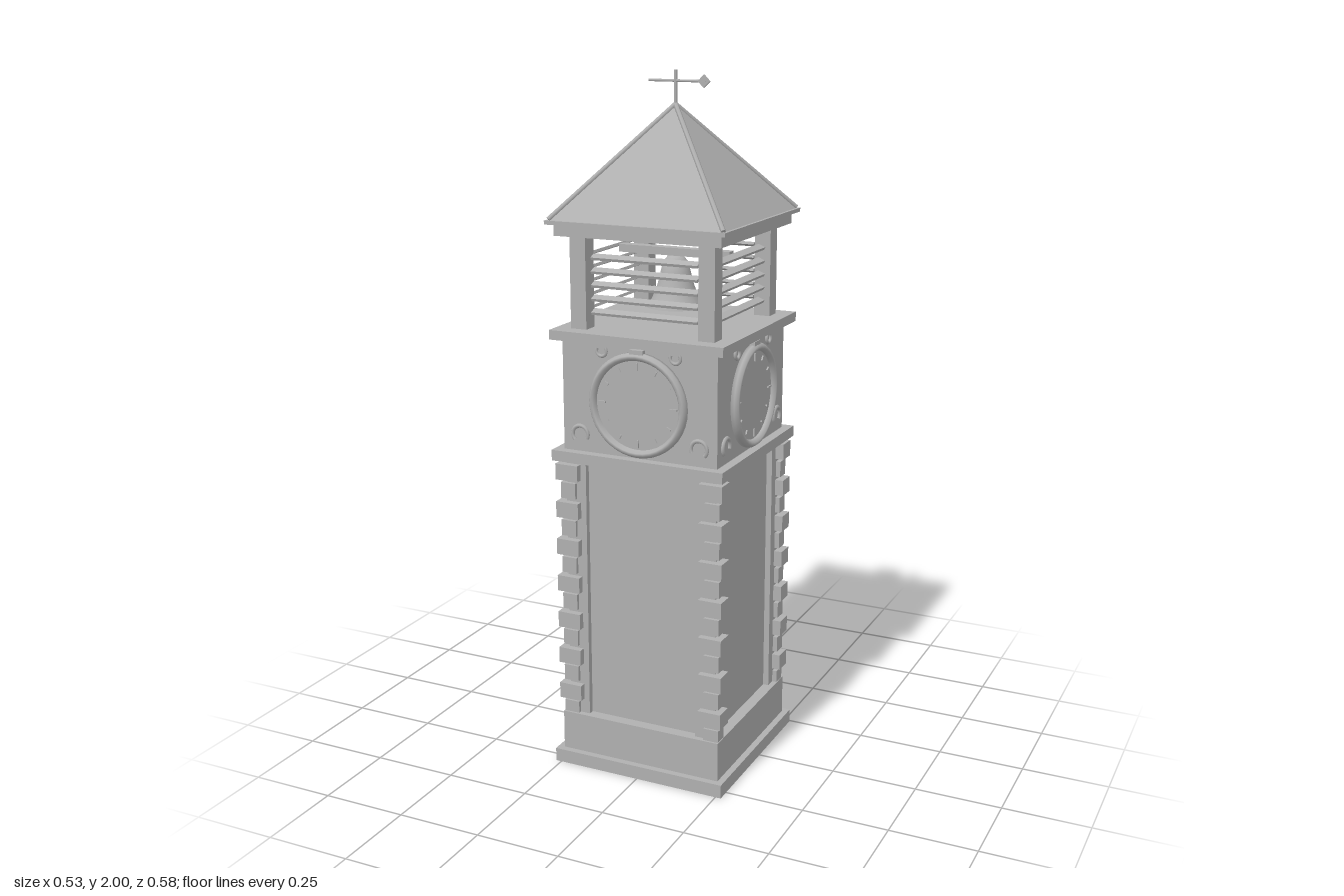
import * as THREE from 'three';

const stone = new THREE.MeshStandardMaterial({ color: 0xb0b0b0 });
stone.name = 'grey stone';

function add(parent, name, geometry, x = 0, y = 0, z = 0) {
  const mesh = new THREE.Mesh(geometry, stone);
  mesh.name = name;
  mesh.position.set(x, y, z);
  parent.add(mesh);
  return mesh;
}

// Box given by its bottom and top heights
function block(parent, name, w, y0, y1, d, x = 0, z = 0) {
  return add(parent, name, new THREE.BoxGeometry(w, y1 - y0, d), x, (y0 + y1) / 2, z);
}

// Thin rod between two points
function rod(parent, name, a, b, r, sides = 6) {
  const mesh = add(parent, name, new THREE.CylinderGeometry(r, r, a.distanceTo(b), sides));
  mesh.position.copy(a).add(b).multiplyScalar(0.5);
  mesh.quaternion.setFromUnitVectors(new THREE.Vector3(0, 1, 0), b.clone().sub(a).normalize());
  return mesh;
}

const V = (x, y, z) => new THREE.Vector3(x, y, z);
const corners = [[1, 1], [1, -1], [-1, -1], [-1, 1]];

// Clock with raised rim, ticks and corner scrolls, facing +z
function clockFace(parent) {
  const clock = new THREE.Group();
  clock.name = 'clock';
  clock.position.set(0, 1.116, 0.234);
  parent.add(clock);
  const rim = [[0.126, 0], [0.148, 0], [0.148, 0.012], [0.141, 0.022], [0.133, 0.022], [0.126, 0.012], [0.126, 0]];
  const ring = add(clock, 'clockRim', new THREE.LatheGeometry(rim.map(p => new THREE.Vector2(...p)), 40));
  ring.rotation.x = Math.PI / 2;
  ring.material = stone;
  add(clock, 'clockDial', new THREE.CylinderGeometry(0.128, 0.128, 0.008, 40), 0, 0, 0.004).rotation.x = Math.PI / 2;
  for (let i = 0; i < 12; i++) {
    const a = i * Math.PI / 6;
    const tick = add(clock, 'hourTick', new THREE.BoxGeometry(0.005, i % 3 ? 0.014 : 0.022, 0.005),
      Math.sin(a) * 0.109, Math.cos(a) * 0.109, 0.01);
    tick.rotation.z = -a;
  }
  for (const s of [-1, 1]) {
    const big = add(clock, 'lowerScroll', new THREE.TorusGeometry(0.024, 0.006, 6, 18, Math.PI * 1.4), s * 0.182, -0.103, 0.004);
    big.rotation.z = s > 0 ? -Math.PI * 0.25 : -Math.PI * 0.15;
    add(clock, 'upperScroll', new THREE.TorusGeometry(0.015, 0.005, 6, 14, Math.PI * 1.4), s * 0.112, 0.142, 0.004).rotation.z = Math.PI * 0.8;
  }
  add(clock, 'clockKeystone', new THREE.BoxGeometry(0.04, 0.012, 0.018), 0, 0.15, 0.008);
}

// Outline of an opening with an arched head
function archPath(path, w, h) {
  const rise = h - w * 0.4;
  path.moveTo(-w / 2, 0);
  path.lineTo(w / 2, 0);
  path.lineTo(w / 2, rise);
  path.absellipse(0, rise, w / 2, w * 0.4, 0, Math.PI, false);
  path.lineTo(-w / 2, 0);
  return path;
}

function archedWindow(parent, y) {
  const shape = archPath(new THREE.Shape(), 0.1, 0.165);
  const inner = archPath(new THREE.Path(), 0.076, 0.141).getPoints(10)
    .map(p => new THREE.Vector2(p.x, p.y + 0.012));
  shape.holes.push(new THREE.Path(inner));
  add(parent, 'windowFrame', new THREE.ExtrudeGeometry(shape, { depth: 0.012, bevelEnabled: false, curveSegments: 10 }), 0, y, 0.215);
  block(parent, 'windowSill', 0.11, y - 0.006, y + 0.006, 0.02, 0, 0.222);
}

export function createModel() {
  const model = new THREE.Group();
  model.name = 'clockTower';
  const tower = new THREE.Group();
  tower.name = 'tower';
  tower.position.z = 0.021;
  model.add(tower);

  // Stacked square storeys and mouldings
  for (const [name, half, y0, y1] of [
    ['baseSlab', 0.267, 0, 0.04],
    ['plinth', 0.248, 0.04, 0.157],
    ['shaft', 0.215, 0.157, 0.935],
    ['lowerCornice', 0.262, 0.932, 0.963],
    ['clockStorey', 0.235, 0.963, 1.28],
    ['upperCornice', 0.262, 1.28, 1.307],
    ['belfryBeam', 0.248, 1.566, 1.598],
    ['eave', 0.267, 1.598, 1.609],
  ]) block(tower, name, half * 2, y0, y1, half * 2);

  // Corner pilasters with alternating quoins, and belfry posts
  for (const [sx, sz] of corners) {
    block(tower, 'pilaster', 0.062, 0.157, 0.932, 0.062, sx * 0.201, sz * 0.201);
    for (let i = 0; i < 14; i++) {
      const wide = i % 2 === 0;
      const y = 0.897 - i * 0.056;
      const w = wide ? 0.07 : 0.046, d = wide ? 0.054 : 0.04;
      block(tower, 'quoin', w, y - 0.0235, y + 0.0235, d,
        sx * ((wide ? 0.257 : 0.246) - w / 2), sz * ((wide ? 0.252 : 0.242) - d / 2));
    }
    block(tower, 'belfryPost', 0.048, 1.307, 1.566, 0.048, sx * 0.193, sz * 0.193);
  }

  // Clock and louvres on every side
  for (let k = 0; k < 4; k++) {
    const side = new THREE.Group();
    side.name = 'towerSide';
    side.rotation.y = k * Math.PI / 2;
    tower.add(side);
    clockFace(side);
    for (let i = 0; i < 5; i++) {
      const slat = add(side, 'louvre', new THREE.BoxGeometry(0.34, 0.008, 0.022), 0, 1.355 + i * 0.038, 0.193);
      slat.scale.x = 0.32 / 0.34;
      slat.rotation.x = 0.4;
    }
  }

  // Bell and its hanging beam
  const bell = [[0, 0.145], [0.022, 0.142], [0.036, 0.125], [0.042, 0.1], [0.052, 0.06], [0.068, 0.02], [0.083, 0], [0.074, 0], [0.04, 0.06], [0, 0.11]]
    .reverse().map(p => new THREE.Vector2(...p));
  add(tower, 'bell', new THREE.LatheGeometry(bell, 24), 0, 1.35, 0);
  block(tower, 'bellBeam', 0.34, 1.494, 1.516, 0.03);

  // Pyramid roof with hip ridges
  const roof = add(tower, 'roof', new THREE.ConeGeometry(0.262 * Math.SQRT2, 0.305, 4, 1).toNonIndexed(), 0, 1.605 + 0.1525, 0);
  roof.geometry.computeVertexNormals();
  roof.rotation.y = Math.PI / 4;
  for (const [sx, sz] of corners)
    rod(tower, 'hipRidge', V(sx * 0.258, 1.611, sz * 0.258), V(0, 1.908, 0), 0.007);

  // Weather vane
  rod(tower, 'vanePole', V(0, 1.89, 0), V(0, 2, 0), 0.005, 8);
  rod(tower, 'vaneArm', V(-0.08, 1.971, 0), V(0.09, 1.971, 0), 0.004);
  add(tower, 'vaneTip', new THREE.BoxGeometry(0.025, 0.025, 0.007), 0.085, 1.971, 0).rotation.z = Math.PI / 4;

  // Rear details, built facing +z and turned round
  const rear = new THREE.Group();
  rear.name = 'rearSide';
  rear.rotation.y = Math.PI;
  tower.add(rear);
  block(rear, 'lowerStep', 0.224, 0, 0.022, 0.09, 0, 0.27);
  block(rear, 'upperStep', 0.224, 0.02, 0.04, 0.05, 0, 0.254);

  for (const s of [-1, 1]) block(rear, 'doorJamb', 0.014, 0.157, 0.31, 0.018, s * 0.085, 0.222);
  block(rear, 'doorLintel', 0.184, 0.3, 0.314, 0.02, 0, 0.223);
  block(rear, 'door', 0.156, 0.157, 0.3, 0.01, 0, 0.218);
  block(rear, 'doorHandle', 0.03, 0.225, 0.232, 0.012, 0.05, 0.226);
  block(rear, 'doorPanel', 0.126, 0.32, 0.378, 0.012, 0, 0.219);
  for (const y of [0.318, 0.38]) block(rear, 'doorPanelTrim', 0.136, y - 0.004, y + 0.004, 0.02, 0, 0.222);
  for (let i = -1; i <= 1; i++) block(rear, 'doorPanelRib', 0.012, 0.332, 0.366, 0.008, i * 0.036, 0.227);
  archedWindow(rear, 0.392);
  archedWindow(rear, 0.642);

  // Small roof lantern with side vents
  block(rear, 'lanternBody', 0.08, 1.65, 1.73, 0.064, 0, 0.178);
  for (const s of [-1, 1]) block(rear, 'lanternVent', 0.012, 1.668, 1.722, 0.056, s * 0.044, 0.182);
  const cap = new THREE.ConeGeometry(Math.SQRT1_2, 0.054, 4, 1).rotateY(Math.PI / 4).scale(0.09, 1, 0.076).toNonIndexed();
  cap.computeVertexNormals();
  add(rear, 'lanternRoof', cap, 0, 1.754, 0.18);

  return model;
}
